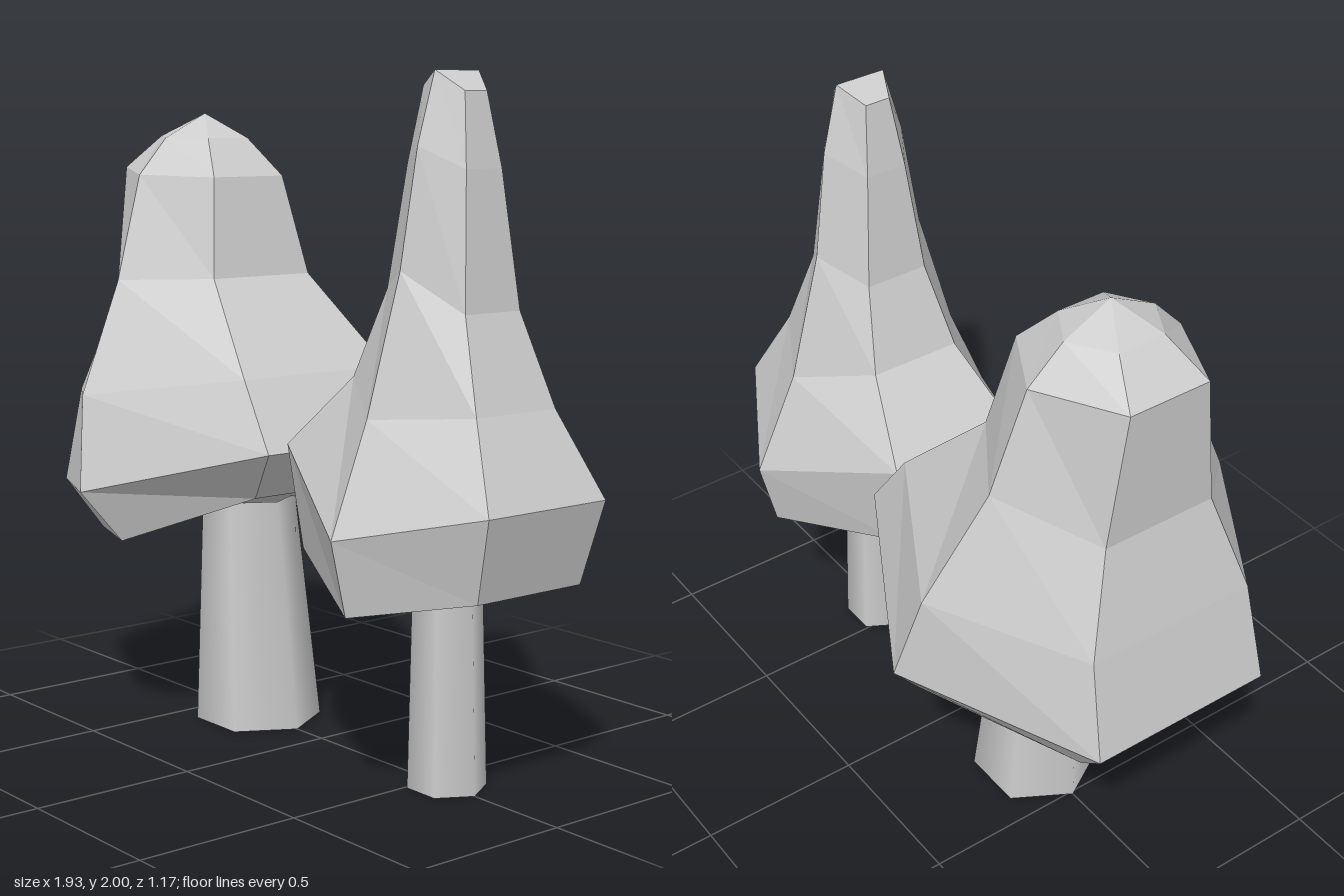
import * as THREE from 'three';

const flatMat = new THREE.MeshStandardMaterial({ color: 0xcccccc, flatShading: true });
const trunkMat = new THREE.MeshStandardMaterial({ color: 0xcccccc, side: THREE.DoubleSide });

// Six corners of a ring: [leftX, leftY, midX, midY, rightX, rightY, side half depth, mid half depth]
function ringPoints([lx, ly, mx, my, rx, ry, zs, zm], z0) {
  return [
    [rx, ry, z0 + zs], [mx, my, z0 + zm], [lx, ly, z0 + zs],
    [lx, ly, z0 - zs], [mx, my, z0 - zm], [rx, ry, z0 - zs],
  ];
}

// A closing point is a ring shrunk to nothing
const tip = (x, y) => [x, y, x, y, x, y, 0, 0];

// Faceted foliage skinned over tilted six-sided rings, listed from bottom to top
function foliage(name, rings, z0) {
  const pos = [];
  for (let i = 0; i < rings.length - 1; i++) {
    const lo = ringPoints(rings[i], z0), hi = ringPoints(rings[i + 1], z0);
    for (let j = 0; j < 6; j++) {
      const k = (j + 1) % 6;
      if (rings[i][7] > 0) pos.push(...lo[j], ...hi[k], ...lo[k]);
      if (rings[i + 1][7] > 0) pos.push(...lo[j], ...hi[j], ...hi[k]);
    }
  }
  const geo = new THREE.BufferGeometry();
  geo.setAttribute('position', new THREE.Float32BufferAttribute(pos, 3));
  geo.computeVertexNormals();
  const mesh = new THREE.Mesh(geo, flatMat);
  mesh.name = name;
  return mesh;
}

// Open six-sided trunk, sheared so that its top sits at topX
function trunk(name, baseX, baseR, topX, topR, height, z0) {
  const geo = new THREE.CylinderGeometry(topR, baseR, height, 6, 1, true);
  geo.rotateY(Math.PI / 6 * 3);
  geo.translate(0, height / 2, 0);
  const p = geo.attributes.position;
  for (let i = 0; i < p.count; i++) {
    p.setX(i, p.getX(i) + baseX + (topX - baseX) * p.getY(i) / height);
  }
  const mesh = new THREE.Mesh(geo, trunkMat);
  mesh.position.z = z0;
  mesh.name = name;
  return mesh;
}

export function createModel() {
  const model = new THREE.Group();
  model.name = 'treePair';

  // Broad tree
  const broad = new THREE.Group();
  broad.name = 'broadTree';
  broad.add(
    trunk('broadTrunk', -0.315, 0.195, -0.36, 0.145, 0.7, 0),
    foliage('broadFoliage', [
      tip(-0.4, 0.67),
      [-0.83, 0.555, -0.37, 0.615, -0.01, 0.77, 0.24, 0.47],
      [-0.97, 0.7, -0.415, 0.77, 0.12, 0.92, 0.29, 0.585],
      [-0.9, 1.0, -0.48, 1.05, -0.02, 1.12, 0.27, 0.53],
      [-0.82, 1.3, -0.545, 1.38, -0.29, 1.39, 0.18, 0.355],
      [-0.83, 1.71, -0.57, 1.695, -0.355, 1.69, 0.13, 0.255],
      [-0.71, 1.81, -0.58, 1.805, -0.46, 1.805, 0.075, 0.15],
      tip(-0.58, 1.88),
    ], 0),
  );

  // Slender tree, with a hollow beneath its foliage
  const slender = new THREE.Group();
  slender.name = 'slenderTree';
  slender.add(
    trunk('slenderTrunk', 0.565, 0.115, 0.56, 0.098, 0.7, 0),
    foliage('slenderFoliage', [
      tip(0.56, 0.69),
      [0.38, 0.7, 0.57, 0.66, 0.74, 0.68, 0.1, 0.2],
      [0.17, 0.65, 0.59, 0.555, 0.9, 0.62, 0.19, 0.38],
      [0.13, 0.95, 0.59, 0.77, 0.965, 0.86, 0.215, 0.43],
      [0.34, 1.16, 0.575, 1.08, 0.84, 1.1, 0.145, 0.295],
      [0.43, 1.41, 0.58, 1.47, 0.745, 1.36, 0.1, 0.185],
      [0.47, 1.75, 0.59, 1.8, 0.705, 1.74, 0.065, 0.135],
      [0.505, 1.96, 0.595, 2.0, 0.67, 1.945, 0.04, 0.08],
      tip(0.595, 2.0),
    ], 0.015),
  );

  model.add(broad, slender);
  return model;
}
